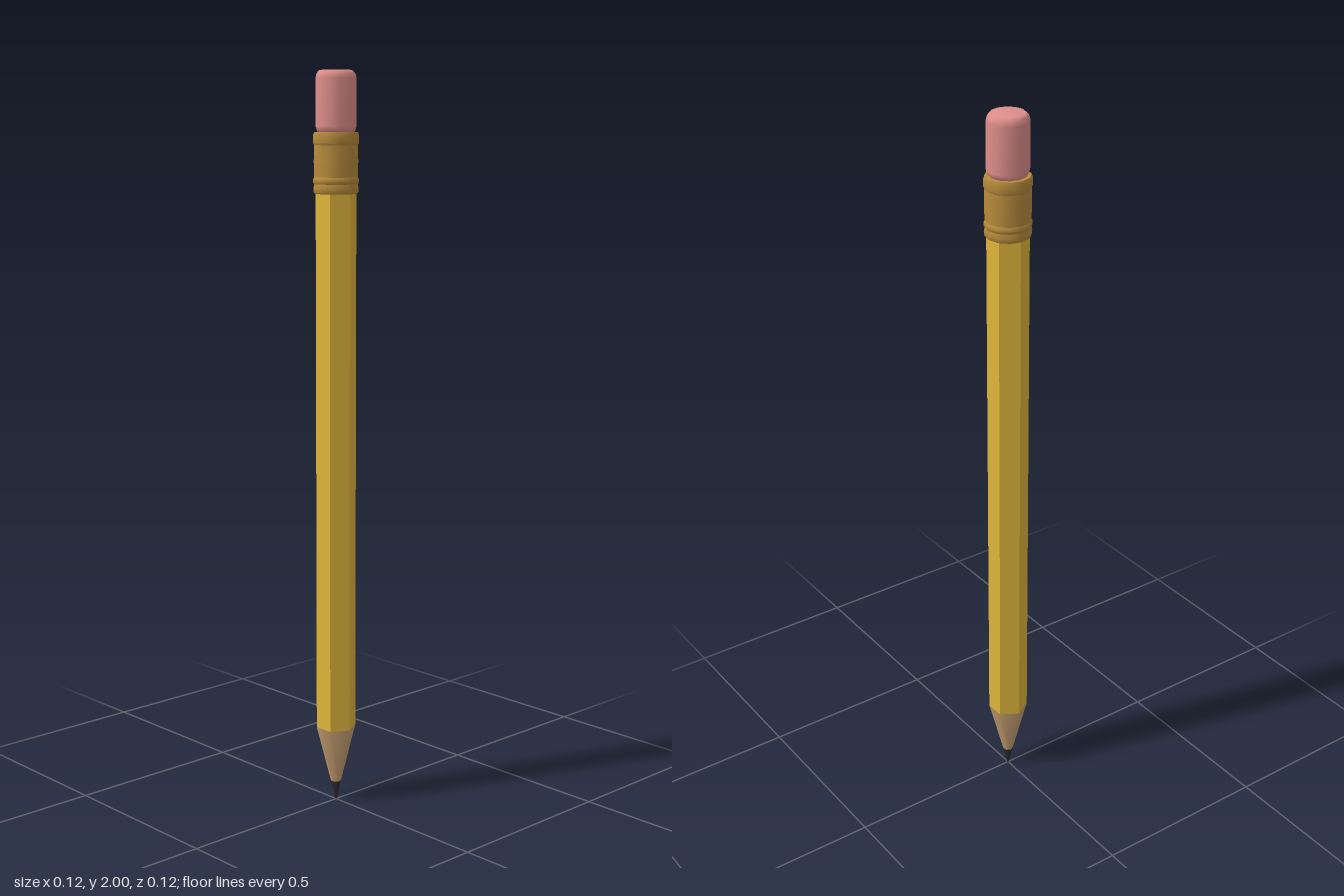
import * as THREE from 'three';

const material = (name, color) => {
  const m = new THREE.MeshStandardMaterial({ color });
  m.name = name;
  return m;
};

export function createModel() {
  const paint = material('yellow paint', 0xdfb63a);
  const wood = material('bare wood', 0xc9a273);
  const lead = material('graphite', 0x2e2e33);
  const brass = material('brass', 0xb88c3c);
  const rubber = material('pink rubber', 0xdf8f8b);

  const pencil = new THREE.Group();
  pencil.name = 'pencil';
  const add = (name, geometry, mat, y = 0) => {
    const mesh = new THREE.Mesh(geometry, mat);
    mesh.name = name;
    mesh.position.y = y;
    pencil.add(mesh);
  };
  // Turned part from [radius, height] pairs, bottom to top
  const turned = (name, points, sides, mat) =>
    add(name, new THREE.LatheGeometry(points.map(([r, y]) => new THREE.Vector2(r, y)), sides), mat);

  // Six-sided painted shaft with crisp edges
  const shaft = new THREE.CylinderGeometry(0.055, 0.055, 1.475, 6).toNonIndexed();
  shaft.computeVertexNormals();
  add('shaft', shaft, paint, 0.215 + 1.475 / 2);

  // Sharpened end
  turned('sharpenedWood', [[0.0145, 0.055], [0.055, 0.215]], 6, wood);
  turned('leadTip', [[0, 0], [0.003, 0.002], [0.0145, 0.055]], 6, lead);

  // Ferrule: sleeve with raised bands at both ends
  turned('ferruleBase', [[0, 1.681], [0.056, 1.681]], 12, brass);
  turned('ferruleLowerBand', [[0.056, 1.681], [0.06, 1.684], [0.061, 1.695], [0.059, 1.706]], 12, brass);
  turned('ferruleLowerRing', [[0.059, 1.706], [0.062, 1.711], [0.062, 1.718], [0.059, 1.724]], 12, brass);
  turned('ferruleSleeve', [[0.059, 1.724], [0.06, 1.765], [0.059, 1.807]], 12, brass);
  turned('ferruleUpperBand', [[0.059, 1.807], [0.062, 1.813], [0.062, 1.832], [0.059, 1.841]], 12, brass);
  turned('ferruleTop', [[0.059, 1.841], [0, 1.841]], 12, brass);

  // Eraser with rounded rims
  turned('eraser', [
    [0, 1.838], [0.044, 1.838], [0.051, 1.843], [0.055, 1.856],
    [0.055, 1.978], [0.052, 1.991], [0.044, 1.999], [0, 2],
  ], 12, rubber);

  return pencil;
}
